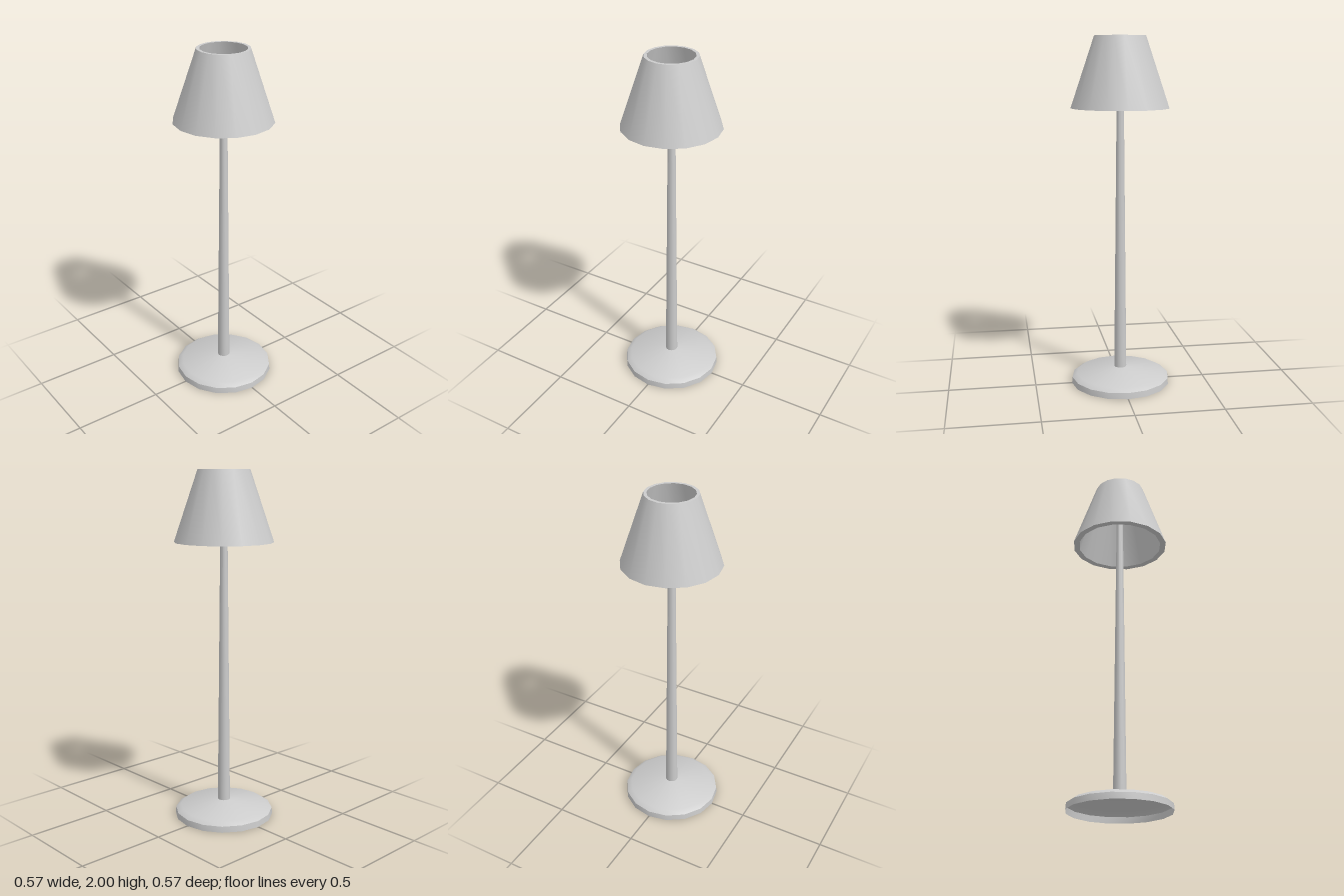
import * as THREE from 'three';
import { toCreasedNormals } from 'three/addons/utils/BufferGeometryUtils.js';

// Turned part from [radius, height] pairs, soft around and sharp at the rims
function turned(name, profile, sides, side = THREE.FrontSide) {
  const points = profile.map(([r, y]) => new THREE.Vector2(r, y));
  const geometry = toCreasedNormals(new THREE.LatheGeometry(points, sides), 0.6);
  const mesh = new THREE.Mesh(geometry, new THREE.MeshStandardMaterial({ color: 0xcccccc, side }));
  mesh.name = name;
  return mesh;
}

export function createModel() {
  const lamp = new THREE.Group();
  lamp.name = 'lamp';

  // Hollow base: upright rim, bevel and shallow cone, open underneath
  lamp.add(turned('base', [
    [0.287, 0], [0.284, 0.035], [0.255, 0.055], [0.036, 0.09],
  ], 16, THREE.DoubleSide));

  // Tapered pole, an open tube reaching into the shade
  lamp.add(turned('pole', [[0.036, 0.09], [0.019, 1.8]], 16, THREE.DoubleSide));

  // Thick-walled shade, open at top and bottom
  lamp.add(turned('shade', [
    [0.279, 1.605], [0.145, 2], [0.128, 2], [0.245, 1.605], [0.279, 1.605],
  ], 16));

  return lamp;
}
